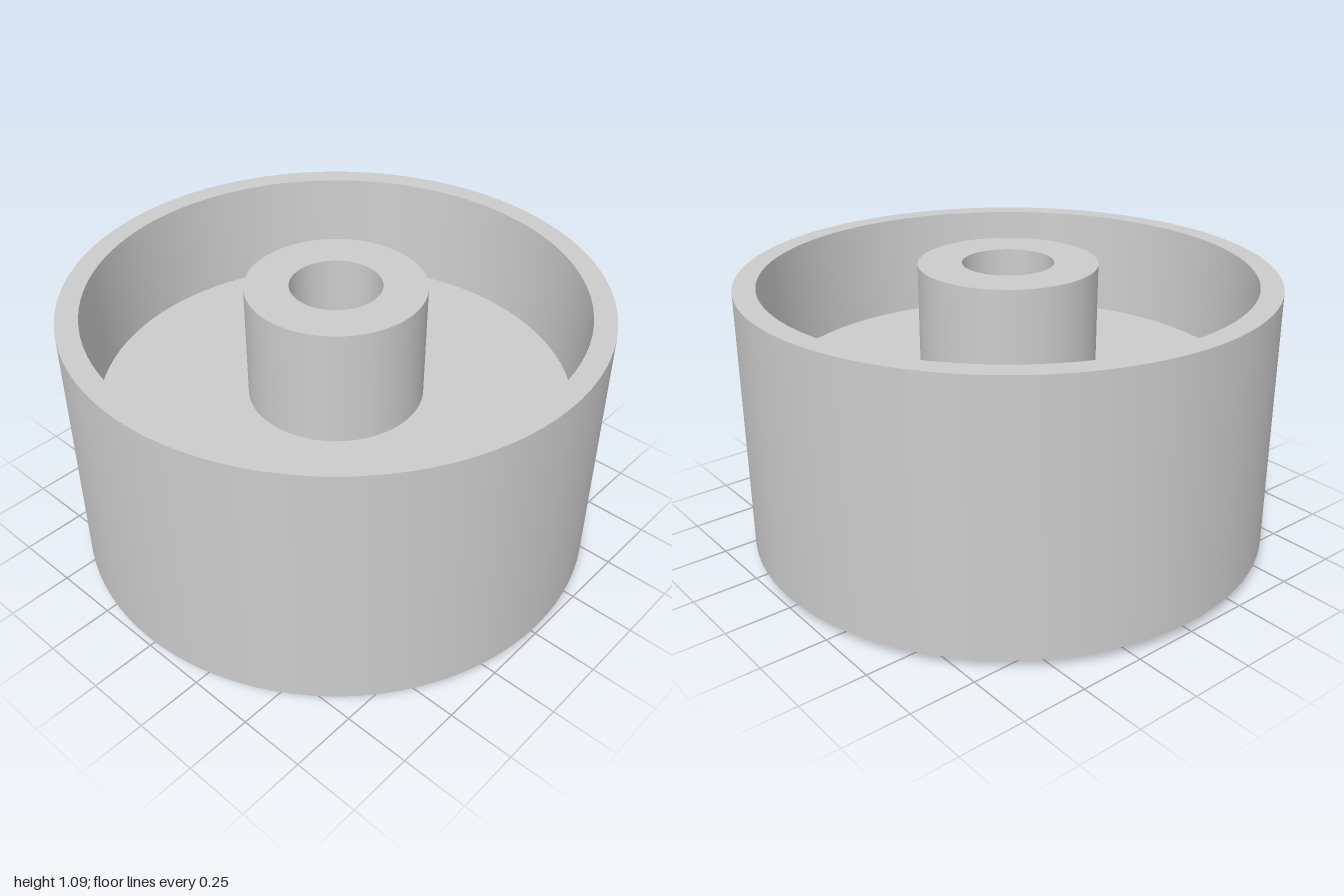
import * as THREE from 'three';
import { toCreasedNormals } from 'three/addons/utils/BufferGeometryUtils.js';

const SEGMENTS = 96;
const RIM_BOTTOM = 0.043, RIM_TOP = 1.043;
const WEB_BOTTOM = 0.453, WEB_TOP = 0.633;
const HUB_TOP = 1.086;
const HUB_R = 0.333, BORE_R = 0.17, WEB_R = 0.896, LIP_R = 0.917;

const material = new THREE.MeshStandardMaterial({ color: 0xcccccc });

// Revolve a [radius, height] profile, counterclockwise in section, with crisp corners
function turned(name, profile) {
  const points = profile.map(([r, y]) => new THREE.Vector2(r, y));
  const geometry = toCreasedNormals(new THREE.LatheGeometry(points, SEGMENTS), Math.PI / 6);
  const mesh = new THREE.Mesh(geometry, material);
  mesh.name = name;
  return mesh;
}

export function createModel() {
  const wheel = new THREE.Group();
  wheel.name = 'wheel';

  // Outer rim, its inner walls narrowing slightly towards the web
  wheel.add(turned('rim', [
    [WEB_R, WEB_BOTTOM], [LIP_R, RIM_BOTTOM], [1, RIM_BOTTOM],
    [1, RIM_TOP], [LIP_R, RIM_TOP], [WEB_R, WEB_TOP],
  ]));

  // Flat web joining hub and rim
  wheel.add(turned('webUnderside', [[HUB_R, WEB_BOTTOM], [WEB_R, WEB_BOTTOM]]));
  wheel.add(turned('webTop', [[WEB_R, WEB_TOP], [HUB_R, WEB_TOP]]));

  // Hub tube standing proud of the rim on both sides, with a through bore
  wheel.add(turned('hub', [
    [BORE_R, 0], [HUB_R, 0], [HUB_R, HUB_TOP], [BORE_R, HUB_TOP], [BORE_R, 0],
  ]));

  return wheel;
}
